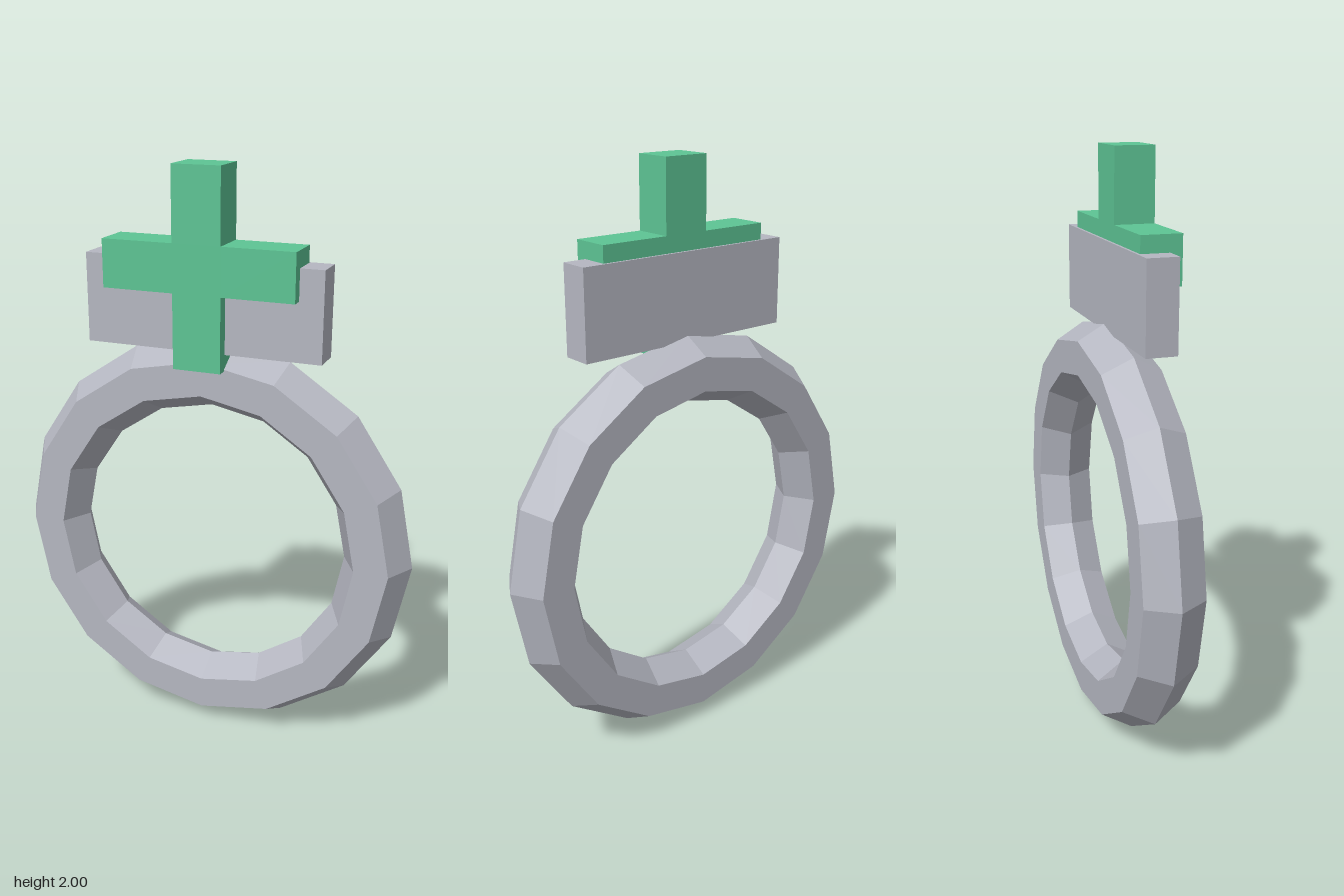
import * as THREE from 'three';

export function createModel() {
  const model = new THREE.Group();
  const metal = new THREE.MeshStandardMaterial({ color: 0xb5b7c1 });
  metal.name = 'grey metal';
  metal.flatShading = true;
  const gem = new THREE.MeshStandardMaterial({ color: 0x5dc494 });
  gem.name = 'green gem';
  gem.flatShading = true;

  function add(name, geometry, material, x, y, z) {
    const mesh = new THREE.Mesh(geometry, material);
    mesh.name = name;
    mesh.position.set(x, y, z);
    model.add(mesh);
  }

  // Faceted band with a hexagonal section
  add('band', new THREE.TorusGeometry(0.6, 0.116, 6, 16), metal, 0, 0.718, -0.017);

  // Upright mounting plate on top of the band
  add('mountingPlate', new THREE.BoxGeometry(0.81, 0.297, 0.104), metal, 0, 1.556, 0.025);

  // Cross-shaped gem, one solid outline
  const half = 0.082, arm = 0.325, bottom = 1.354, low = 1.602, high = 1.76, top = 2;
  const right = [[half, bottom], [half, low], [arm, low], [arm, high], [half, high], [half, top]];
  const left = right.map(([x, y]) => [-x, y]).reverse();
  const outline = new THREE.Shape([...right, ...left].map(([x, y]) => new THREE.Vector2(x, y)));
  add('crossGem', new THREE.ExtrudeGeometry(outline, { depth: 0.135, bevelEnabled: false }), gem, 0, 0, -0.018);

  return model;
}
